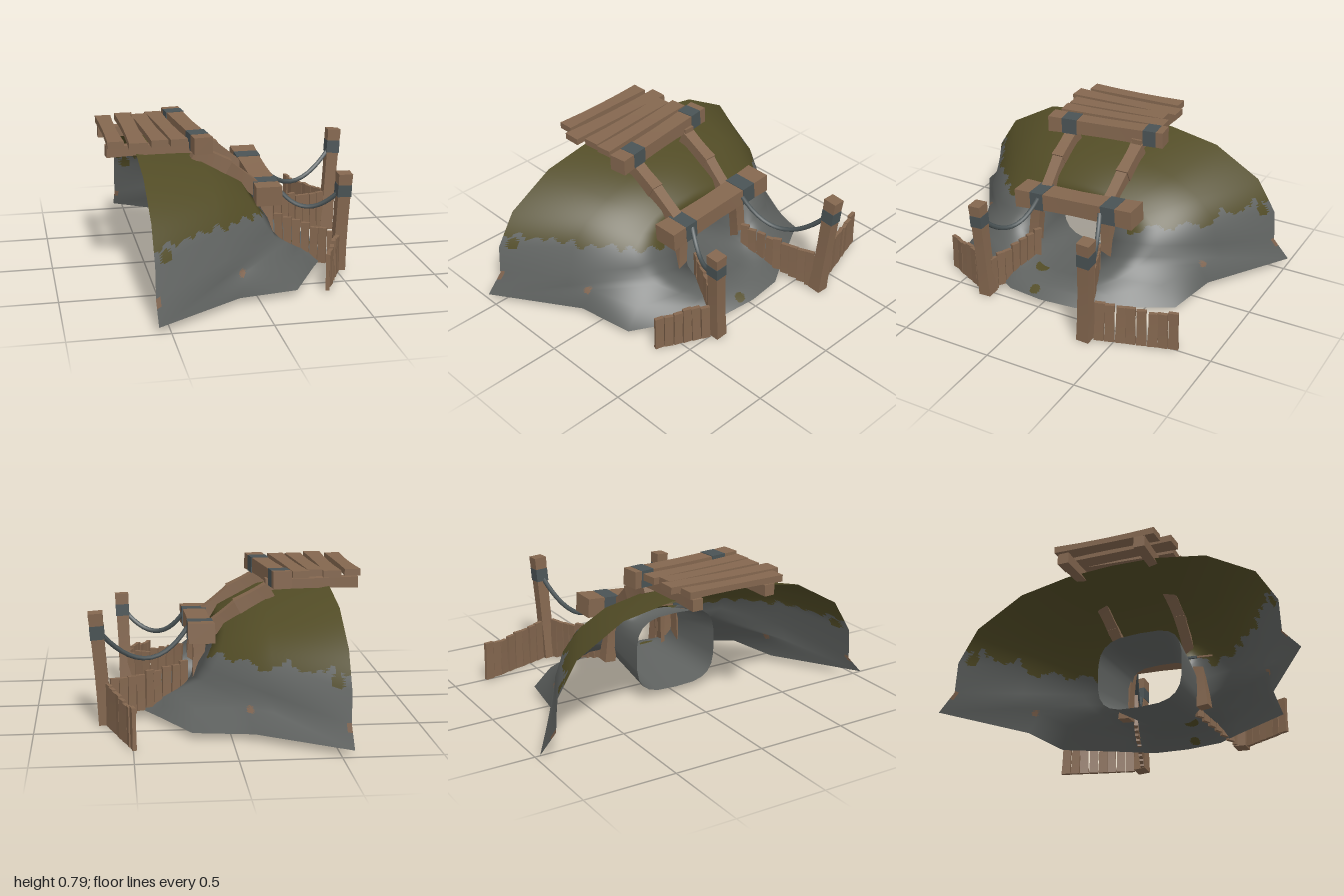
import * as THREE from 'three';

const mat = (name, color, side = THREE.FrontSide) => {
  const m = new THREE.MeshStandardMaterial({ color, side });
  m.name = name;
  return m;
};
const V = (x, y, z) => new THREE.Vector3(x, y, z);

export function createModel() {
  const model = new THREE.Group();
  model.name = 'caveEntrance';
  const wood = mat('wood', 0x84674f);
  const iron = mat('iron', 0x4a5355);
  const stone = mat('stone', 0x5f6260, THREE.DoubleSide);
  const moss = mat('moss', 0x524c26, THREE.DoubleSide);
  const clay = mat('clay', 0x80644f, THREE.DoubleSide);

  let seed = 7;
  const rand = () => (seed = (seed * 16807) % 2147483647) / 2147483647 - 0.5;

  // A squared bar from a to b, slimmer in the middle; 'hint' sets its width direction
  function bar(name, a, b, w, d, hint, material = wood, waist = 0.14, parent = model) {
    const len = a.distanceTo(b);
    const geo = new THREE.BoxGeometry(w, len, d, 1, waist ? 4 : 1, 1);
    const p = geo.attributes.position;
    for (let i = 0; i < p.count; i++) {
      const t = (2 * p.getY(i)) / len;
      const s = 1 - waist * (1 - t * t);
      p.setX(i, p.getX(i) * s);
      p.setZ(i, p.getZ(i) * s);
    }
    geo.computeVertexNormals();
    const y = b.clone().sub(a).normalize();
    const z = hint.clone().cross(y).normalize();
    const x = y.clone().cross(z);
    const mesh = new THREE.Mesh(geo, material);
    mesh.applyMatrix4(new THREE.Matrix4().makeBasis(x, y, z).setPosition(a.clone().lerp(b, 0.5)));
    mesh.name = name;
    parent.add(mesh);
  }
  // Iron band around a bar between fractions t0 and t1
  const band = (a, b, t0, t1, w, d, hint) =>
    bar('ironBand', a.clone().lerp(b, t0), a.clone().lerp(b, t1), w, d, hint, iron, 0);

  const X = V(1, 0, 0), Z = V(0, 0, 1);

  // Rounded-square half loop for the tunnel, from its top to its floor
  const tunnelLoop = (xTop, xFloor, width, yMid, height) => Array.from({ length: 12 }, (_, j) => {
    const c = Math.cos((Math.PI * j) / 11), s = Math.sqrt(Math.max(0, 1 - c * c));
    const x = xTop + (xFloor - xTop) * ((1 - c) / 2) ** 1.3;
    return [x, yMid + height * Math.sign(c) * Math.abs(c) ** 0.6, width * s ** 0.6];
  });

  // Hill: half loops from the back arch and base edge in to the mouth, then back along the tunnel
  const rings = [
    [[-.56, .69, 0], [-.56, .68, .25], [-.56, .63, .53], [-.56, .48, .79], [-.56, .3, .9], [-.56, .13, .91],
      [-.56, .03, 1], [-.11, .03, .71], [.2, .03, .66], [.37, .03, .35], [.46, .03, .2], [.48, .03, 0]],
    [[-.22, .64, 0], [-.22, .62, .22], [-.2, .57, .43], [-.2, .49, .58], [-.2, .38, .68], [-.18, .24, .72],
      [-.2, .15, .74], [-.06, .16, .67], [.18, .13, .57], [.33, .08, .34], [.4, .07, .19], [.42, .07, 0]],
    [[0, .52, 0], [0, .51, .16], [0, .47, .28], [.02, .43, .38], [.05, .37, .47], [.09, .3, .49],
      [.13, .25, .47], [.2, .21, .43], [.27, .15, .35], [.33, .1, .25], [.35, .09, .12], [.36, .085, 0]],
    tunnelLoop(.08, .28, .2, .245, .145),
    tunnelLoop(-.2, -.2, .245, .245, .215),
  ].map(h => [...h, ...h.slice(1, -1).reverse().map(([x, y, z]) => [x, y, -z])]);
  const n = rings[0].length, rows = rings.length - 1;
  const coarse = new THREE.BufferGeometry();
  coarse.setAttribute('position', new THREE.Float32BufferAttribute(rings.flat(2), 3));
  const index = [];
  for (let i = 0; i < rows; i++) for (let j = 0; j < n; j++) {
    const a = i * n + j, b = i * n + (j + 1) % n;
    index.push(a, b, a + n, b, b + n, a + n);
  }
  coarse.setIndex(index);
  coarse.computeVertexNormals();

  // Moss lies above a ragged height, plus a few patches of moss and clay
  function hillColour(c) {
    const edge = 0.368 + 0.022 * Math.sin(19 * c.x + 27 * c.z) + 0.016 * Math.sin(47 * c.x - 39 * c.z)
      + 0.008 * Math.sin(90 * c.x + 70 * c.z);
    if (c.y > edge) return 1;
    const near = (x, y, z, r) => c.distanceTo(V(x, y, z)) < r;
    if (Math.abs(c.z) > 0.5) {
      if (Math.hypot(c.x + 0.5, c.y - 0.33) < 0.03) return 1;
      if (Math.hypot(c.x + 0.09, c.y - 0.15) < 0.018 || Math.hypot(c.x + 0.55, c.y - 0.12) < 0.02) return 2;
    }
    return near(.28, .1, .1, .04) || near(.44, .06, .06, .03) ? 1 : 0;
  }
  const buckets = [0, 1, 2].map(() => ({ pos: [], nor: [] }));
  const pa = coarse.attributes.position, na = coarse.attributes.normal, S = 16;
  const sample = (attr, q, u, v) => {
    const [a, b, c, d] = q.map(k => new THREE.Vector3().fromBufferAttribute(attr, k));
    return a.lerp(b, v).lerp(c.lerp(d, v), u);
  };
  for (let i = 0; i < rows; i++) for (let j = 0; j < n; j++) {
    const a = i * n + j, b = i * n + (j + 1) % n, q = [a, b, a + n, b + n];
    for (let r = 0; r < S; r++) for (let s = 0; s < S; s++) {
      for (const tri of [[[r, s], [r, s + 1], [r + 1, s]], [[r, s + 1], [r + 1, s + 1], [r + 1, s]]]) {
        const p = tri.map(([u, v]) => sample(pa, q, u / S, v / S));
        const centre = p[0].clone().add(p[1]).add(p[2]).divideScalar(3);
        const out = buckets[i === rows - 1 ? 0 : hillColour(centre)];
        tri.forEach(([u, v], k) => {
          out.pos.push(...p[k].toArray());
          out.nor.push(...sample(na, q, u / S, v / S).normalize().toArray());
        });
      }
    }
  }
  ['hillStone', 'hillMoss', 'hillClayPatches'].forEach((name, k) => {
    const g = new THREE.BufferGeometry();
    g.setAttribute('position', new THREE.Float32BufferAttribute(buckets[k].pos, 3));
    g.setAttribute('normal', new THREE.Float32BufferAttribute(buckets[k].nor, 3));
    const mesh = new THREE.Mesh(g, [stone, moss, clay][k]);
    mesh.name = name;
    model.add(mesh);
  });

  // Cross beams with their bands
  const f0 = V(.13, .43, .32), f1 = V(.13, .475, -.39);
  bar('frontBeam', f0, f1, .14, .105, X);
  band(f0, f1, .13, .24, .134, .101, X);
  band(f0, f1, .74, .86, .134, .101, X);
  const r0 = V(-.22, .725, .33), r1 = V(-.295, .74, -.34);
  bar('roofBeam', r0, r1, .1, .09, X);
  band(r0, r1, .12, .25, .097, .088, X);
  band(r0, r1, .83, .94, .099, .09, X);

  // Roof planks: x, z of each end, then width
  for (const [xa, za, xb, zb, w] of [[-.68, -.25, -.67, .31, .085], [-.565, -.29, -.56, .36, .095],
    [-.485, -.25, -.445, .32, .09], [-.4, -.29, -.345, .32, .09]]) {
    bar('roofPlank', V(xa, .757, za), V(xb, .748, zb), w, .036, X, wood, .16);
  }

  // Side rails that bend down the hill, and the door posts
  for (const s of [1, -1]) {
    const z = s > 0 ? .23 : -.2;
    bar('roofRail', V(-.715, .7, z), V(-.22, .695, s * .2), .06, .06, Z);
    bar('slopeRail', V(-.25, .67, s * .2), V(-.07, .575, s * .2), .07, .08, Z, wood, .08);
    bar('slopeRail', V(-.1, .59, s * .2), V(.1, .43, s * .185), .065, .08, Z, wood, .08);
    bar('doorPost', V(.14, .12, s * .235), V(.13, .43, s * .21), .07, .065, X);
  }

  // Tall rope posts
  const posts = [[V(.51, 0, .31), V(.53, .545, .342)], [V(.63, 0, -.36), V(.675, .6, -.387)]];
  posts.forEach(([a, b]) => {
    bar('ropePost', a, b, .076, .07, X);
    band(a, b, .77, .89, .075, .069, X);
  });

  // Sagging ropes from the front beam to the posts
  for (const [a, b, low] of [[V(.19, .46, .18), V(.52, .455, .335), .225], [V(.19, .47, -.2), V(.66, .5, -.38), .165]]) {
    const mid = a.clone().lerp(b, .45);
    mid.y = low;
    const rope = new THREE.Mesh(new THREE.TubeGeometry(new THREE.QuadraticBezierCurve3(a, mid, b), 14, .013, 6), iron);
    rope.name = 'rope';
    model.add(rope);
  }

  // Picket fences: start and end (x, z), base and top heights at each end, count
  function fence(name, [xa, za], [xb, zb], base, top, count) {
    const g = new THREE.Group();
    g.name = name;
    model.add(g);
    const dir = V(xb - xa, 0, zb - za), step = dir.length() / count;
    const unit = dir.clone().normalize();
    const mix = THREE.MathUtils.lerp;
    for (let i = 0; i < count; i++) {
      const t = (i + .5) / count;
      const foot = V(xa, mix(...base, t), za).addScaledVector(dir, t);
      const head = foot.clone().addScaledVector(unit, rand() * .015);
      head.y = mix(...top, t) + rand() * .025;
      const turned = unit.clone().applyAxisAngle(V(0, 1, 0), rand() * .35);
      bar('picket', foot, head, step * .95, .021, turned, wood, .08, g);
    }
  }
  fence('leftInnerFence', [.2, .165], [.5, .3], [.11, 0], [.28, .2], 7);
  fence('leftOuterFence', [.5, .35], [.365, .625], [0, 0], [.215, .2], 6);
  fence('rightInnerFence', [.19, -.2], [.61, -.345], [.11, 0], [.285, .22], 9);
  fence('rightOuterFence', [.62, -.4], [.49, -.82], [0, 0], [.225, .2], 8);
  return model;
}
